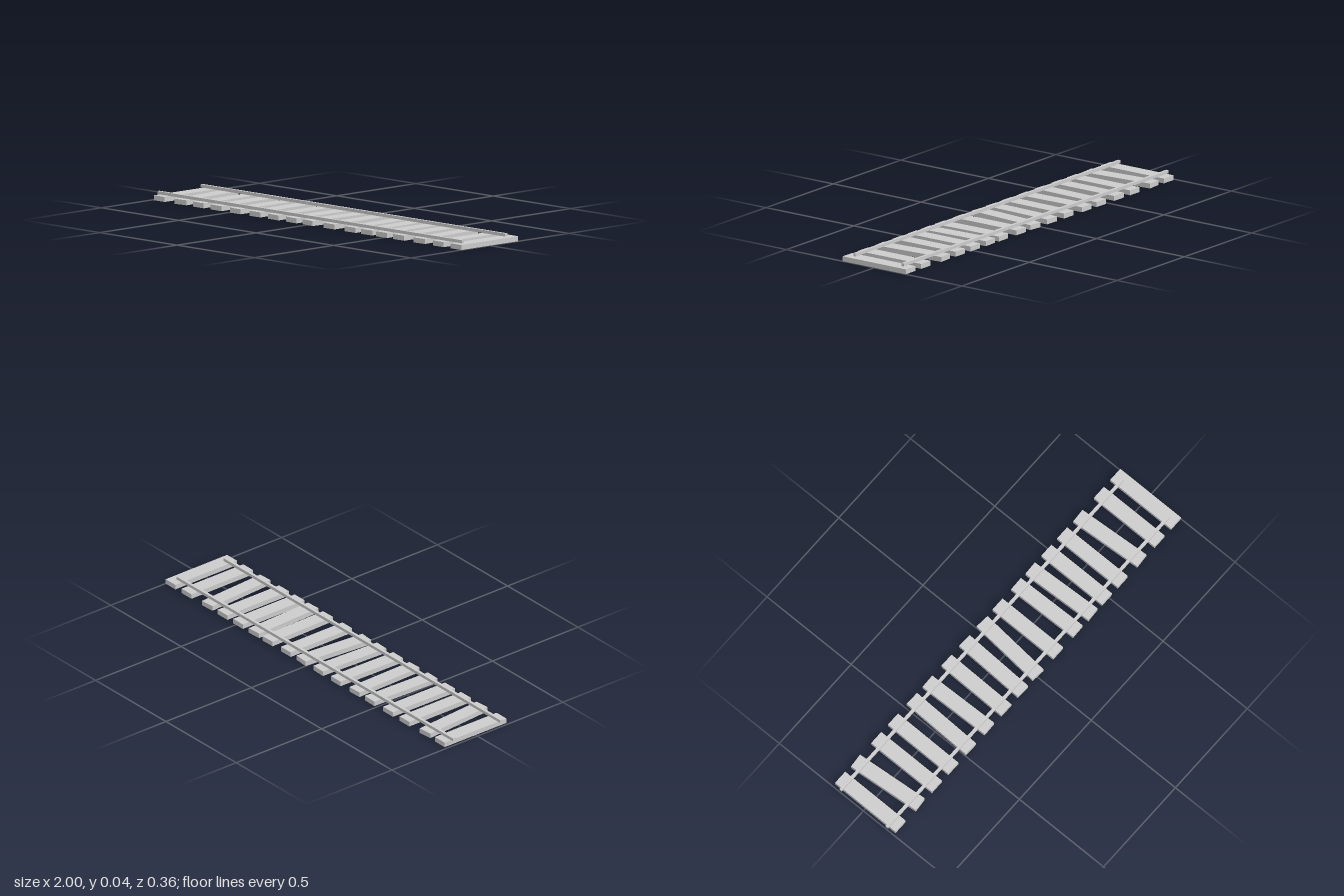
import * as THREE from 'three';

const SLEEPER = { width: 0.07, height: 0.023, length: 0.36 };
const RAIL = { width: 0.014, height: 0.014 };

// Centre x of each sleeper at its back end and at its front end
const SLEEPERS = [
  [-0.951, -0.953], [-0.845, -0.815], [-0.70, -0.70], [-0.583, -0.586],
  [-0.452, -0.463], [-0.344, -0.335], [-0.211, -0.217], [-0.086, -0.10],
  [0.036, 0.005], [0.144, 0.144], [0.273, 0.281], [0.371, 0.387],
  [0.484, 0.484], [0.594, 0.594], [0.703, 0.727], [0.85, 0.85], [0.964, 0.964],
];

// Box shell with no underside
function openBottomBox(w, h, d) {
  const geo = new THREE.BoxGeometry(w, h, d);
  const index = Array.from(geo.index.array);
  index.splice(18, 6); // the -y face
  geo.setIndex(index);
  geo.clearGroups();
  return geo;
}

export function createModel() {
  const track = new THREE.Group();
  track.name = 'railTrack';
  const material = new THREE.MeshStandardMaterial({ color: 0xcccccc, side: THREE.DoubleSide });

  // Sleepers, unevenly spaced and slightly askew
  const sleepers = new THREE.Group();
  sleepers.name = 'sleepers';
  const sleeperGeo = openBottomBox(SLEEPER.width, SLEEPER.height, SLEEPER.length);
  SLEEPERS.forEach(([back, front], i) => {
    const sleeper = new THREE.Mesh(sleeperGeo, material);
    sleeper.name = `sleeper${i + 1}`;
    sleeper.position.set((back + front) / 2, SLEEPER.height / 2, 0);
    sleeper.rotation.y = Math.atan2(front - back, SLEEPER.length);
    sleepers.add(sleeper);
  });
  track.add(sleepers);

  // Two rails, ending a little short of the last sleeper
  const [start, end] = [-1, 0.966];
  const railGeo = new THREE.BoxGeometry(end - start, RAIL.height, RAIL.width);
  for (const [name, z] of [['frontRail', 0.138], ['backRail', -0.136]]) {
    const rail = new THREE.Mesh(railGeo, material);
    rail.name = name;
    rail.position.set((start + end) / 2, SLEEPER.height + RAIL.height / 2, z);
    track.add(rail);
  }
  return track;
}
